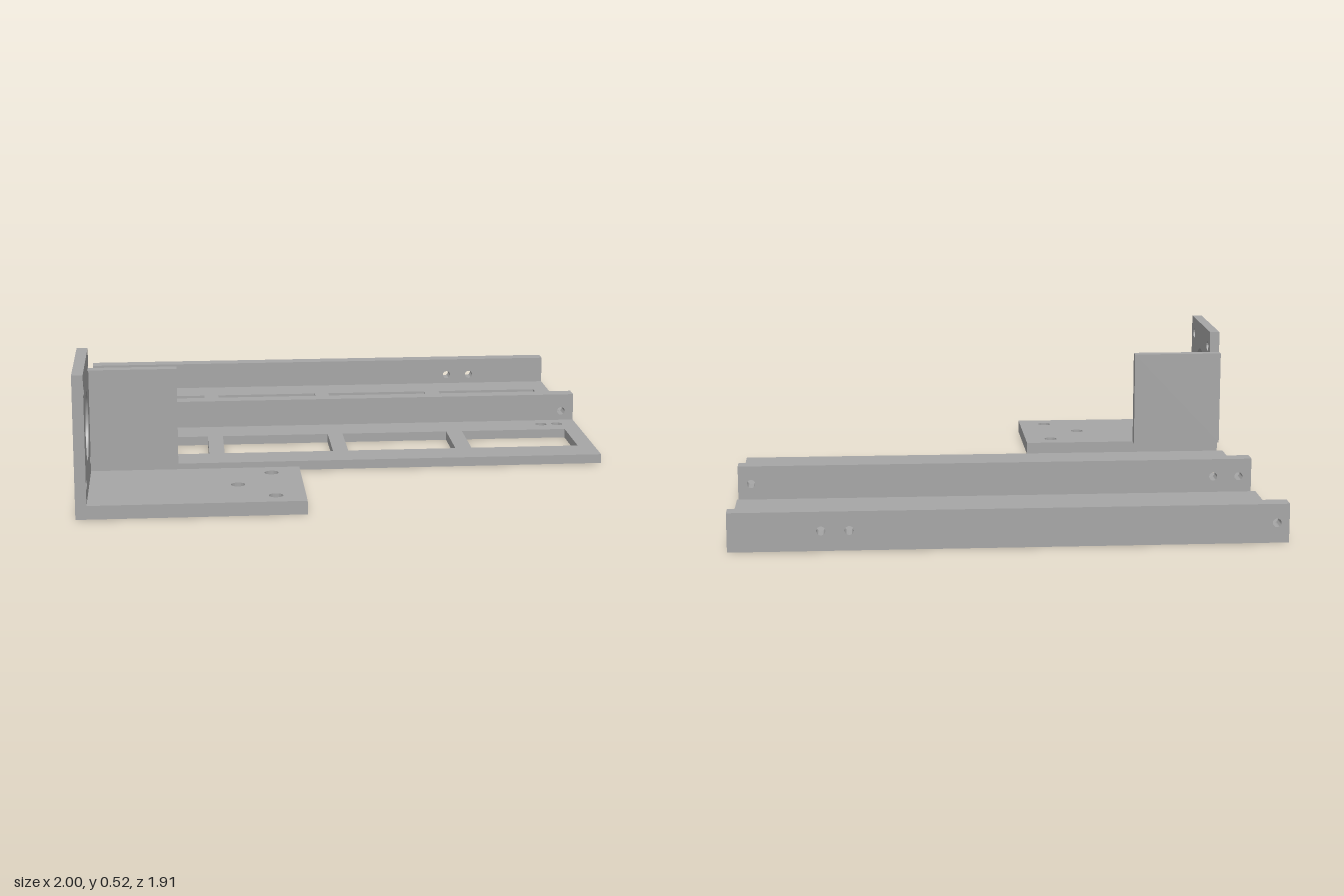
import * as THREE from 'three';
import { toCreasedNormals } from 'three/addons/utils/BufferGeometryUtils.js';

const grey = new THREE.MeshStandardMaterial({ color: 0xa6a6a6 });
grey.name = 'grey';

function rectPath(path, x0, y0, x1, y1) {
  path.moveTo(x0, y0);
  path.lineTo(x1, y0);
  path.lineTo(x1, y1);
  path.lineTo(x0, y1);
  path.closePath();
  return path;
}

// Rectangular sheet [x0, y0, x1, y1] with round holes [x, y, r] and rectangular windows
function sheet(rect, thickness, holes = [], windows = []) {
  const shape = rectPath(new THREE.Shape(), ...rect);
  for (const [x, y, r] of holes) {
    shape.holes.push(new THREE.Path().absarc(x, y, r, 0, Math.PI * 2, true));
  }
  for (const w of windows) shape.holes.push(rectPath(new THREE.Path(), ...w));
  const geo = new THREE.ExtrudeGeometry(shape, { depth: thickness, bevelEnabled: false, curveSegments: 32 });
  return toCreasedNormals(geo, 0.5);
}

// Sheet drawn in (x, z), lying flat with its underside on y = 0
const flatSheet = (rect, t, holes, windows) =>
  sheet(rect, t, holes, windows).rotateX(Math.PI / 2).translate(0, t, 0);

function add(group, name, geo) {
  const mesh = new THREE.Mesh(geo, grey);
  mesh.name = name;
  group.add(mesh);
}

// L-shaped rail with four windows and a raised lip along its back edge
function makeRail(name, zBack, lipHoles, plateHoles) {
  const rail = new THREE.Group();
  rail.name = name;
  const windows = [-0.725, -0.243, 0.239, 0.725].map(
    (x) => [x - 0.211, zBack + 0.215, x + 0.211, zBack + 0.477]);
  const holes = plateHoles.map((x) => [x, zBack + 0.128, 0.022]);
  add(rail, 'railPlate', flatSheet([-1, zBack + 0.062, 1, zBack + 0.615], 0.035, holes, windows));
  const lip = sheet([-1, 0, 1, 0.143], 0.062, lipHoles.map((x) => [x, 0.073, 0.016]));
  add(rail, 'railLip', lip.translate(0, 0, zBack));
  return rail;
}

function makeBracket() {
  const bracket = new THREE.Group();
  bracket.name = 'motorBracket';
  const z0 = 0.5, z1 = 0.955, base = 0.05;

  // Base plate with three mounting holes
  add(bracket, 'bracketBase', flatSheet([-1, z0, -0.182, z1], base,
    [[-0.29, 0.575, 0.026], [-0.42, 0.726, 0.026], [-0.29, 0.877, 0.026]]));

  // Upright face with a large bore and four screw holes, drawn in (z, y)
  const holes = [[0.727, 0.283, 0.125]];
  for (const dz of [-1, 1]) {
    for (const dy of [-1, 1]) holes.push([0.727 + dz * 0.168, 0.283 + dy * 0.168, 0.021]);
  }
  add(bracket, 'bracketFace', sheet([z0, base, z1, 0.52], 0.04, holes)
    .rotateY(-Math.PI / 2).translate(-0.96, 0, 0));

  // Side wall stiffening the upright
  add(bracket, 'bracketWall', sheet([-1, base, -0.635, 0.435], 0.042).translate(0, 0, z0 - 0.042));
  return bracket;
}

export function createModel() {
  const model = new THREE.Group();
  model.name = 'railAndBracketSet';
  model.add(
    makeRail('backRail', -0.955, [-0.955, 0.57, 0.67], []),
    makeRail('middleRail', -0.248, [-0.95, -0.85, 0.95], [0.855, 0.92]),
    makeBracket(),
  );
  return model;
}
